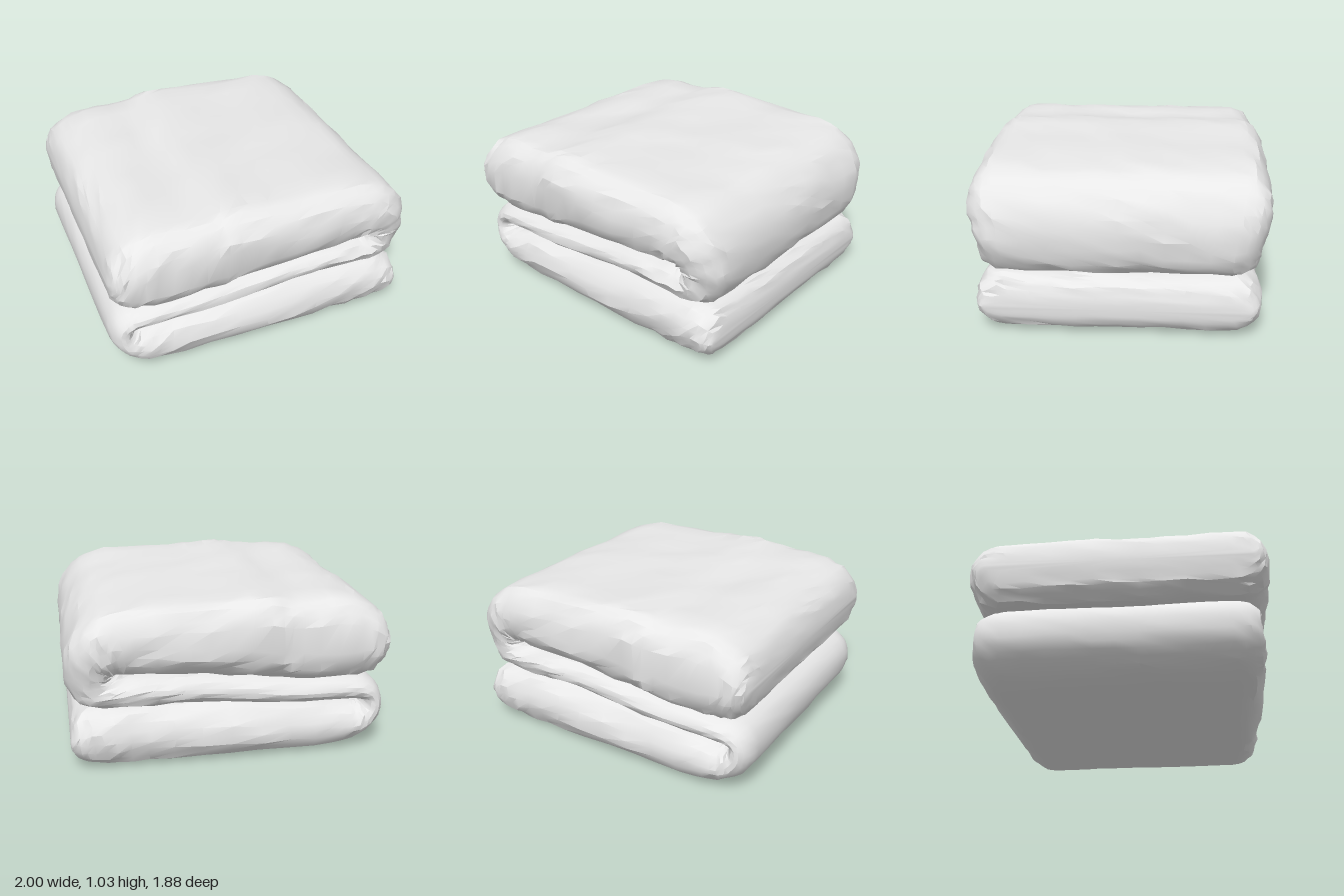
import * as THREE from 'three';
import { toCreasedNormals } from 'three/addons/utils/BufferGeometryUtils.js';

// Stations along the folded cloth: [face A x, y, face B x, y, half depth in z]
const stations = [
  // top layer, from its loose left end to the right
  [-0.995, 0.75, -0.995, 0.69, 0.80], [-0.965, 0.86, -0.97, 0.57, 0.87],
  [-0.88, 0.94, -0.89, 0.50, 0.90], [-0.71, 0.995, -0.74, 0.485, 0.91],
  [-0.42, 1.0, -0.42, 0.505, 0.92], [-0.22, 1.03, -0.22, 0.525, 0.925],
  [0.15, 1.01, 0.15, 0.56, 0.925], [0.62, 1.0, 0.55, 0.595, 0.92],
  // right fold
  [0.82, 0.945, 0.66, 0.60, 0.915], [0.945, 0.81, 0.70, 0.59, 0.90],
  [0.99, 0.63, 0.70, 0.58, 0.87], [0.96, 0.47, 0.68, 0.575, 0.85],
  [0.86, 0.385, 0.60, 0.575, 0.85],
  // middle layer, back to the left
  [0.6, 0.38, 0.4, 0.575, 0.86], [0.2, 0.365, 0.15, 0.56, 0.86],
  [-0.3, 0.335, -0.3, 0.525, 0.86], [-0.7, 0.315, -0.72, 0.49, 0.86],
  // left fold
  [-0.8, 0.31, -0.9, 0.455, 0.85], [-0.84, 0.305, -0.985, 0.37, 0.84],
  [-0.84, 0.295, -1.0, 0.24, 0.84], [-0.82, 0.29, -0.93, 0.12, 0.85],
  // bottom layer, to its loose right end
  [-0.75, 0.30, -0.8, 0.04, 0.86], [-0.5, 0.33, -0.55, 0.004, 0.87],
  [0, 0.36, 0, 0, 0.87], [0.5, 0.38, 0.5, 0, 0.87],
  [0.8, 0.38, 0.74, 0.005, 0.87], [0.92, 0.34, 0.9, 0.03, 0.85],
  [0.96, 0.26, 0.96, 0.10, 0.82], [0.97, 0.21, 0.97, 0.15, 0.79],
];

// Seeded random in -1..1
let seed = 7;
const rand = () => {
  seed = (seed * 16807) % 2147483647;
  return (seed / 2147483647) * 2 - 1;
};

// Ring around the cloth: t goes from face A (1) to face B (-1), z from back to front
function ring(half, w) {
  const rt = Math.min(0.2, half) / half, rz = 0.17;
  const side = [];
  const across = 10, bend = 5;
  for (let i = 0; i < across; i++) side.push([1, (w - rz) * ((2 * i) / across - 1)]);
  for (let i = 0; i <= bend; i++) {
    const q = (i / bend) * Math.PI / 2;
    side.push([1 - rt + rt * Math.cos(q), w - rz + rz * Math.sin(q)]);
  }
  for (let i = bend - 1; i > 0; i--) {
    const q = (i / bend) * Math.PI / 2;
    side.push([-1 + rt - rt * Math.cos(q), w - rz + rz * Math.sin(q)]);
  }
  return side.concat(side.map(([t, z]) => [-t, -z]));
}

function clothGeometry() {
  const curve = (pts) => new THREE.CatmullRomCurve3(pts, false, 'catmullrom', 0.5);
  const railA = curve(stations.map((s) => new THREE.Vector3(s[0], s[1], s[4])));
  const railB = curve(stations.map((s) => new THREE.Vector3(s[2], s[3], s[4])));
  const steps = (stations.length - 1) * 3;
  const positions = [], indices = [];
  let count = 0;

  for (let i = 0; i <= steps; i++) {
    const a = railA.getPoint(i / steps), b = railB.getPoint(i / steps);
    const w = a.z;
    a.z = b.z = 0;
    const half = a.distanceTo(b) / 2;
    const loop = ring(half, w);
    count = loop.length;
    // small crumples, fading out at the thin loose ends
    const crumple = 0.009 * THREE.MathUtils.smoothstep(half, 0.03, 0.16);
    for (const [t, z] of loop) {
      const x = (a.x + b.x) / 2 + ((a.x - b.x) / 2) * t;
      const y = (a.y + b.y) / 2 + ((a.y - b.y) / 2) * t;
      // soft sag of the cloth, flat where it rests
      const rest = Math.min(1, Math.max(0, y / 0.06));
      const sag = 0.006 * Math.sin(5 * x + 3 * z) * Math.cos(4 * z - 2 * x);
      positions.push(
        THREE.MathUtils.clamp(x + crumple * rand(), -1, 1),
        Math.max(0, y + rest * (sag + crumple * rand())),
        z * (1 + 0.008 * Math.sin(6 * x + 9 * y)) + crumple * rand(),
      );
    }
  }

  for (let i = 0; i < steps; i++) {
    for (let j = 0; j < count; j++) {
      const k = (j + 1) % count;
      const p = i * count + j, q = i * count + k;
      indices.push(p, q, p + count, q, q + count, p + count);
    }
  }

  // close both loose ends
  [0, steps].forEach((row) => {
    const s = stations[row ? stations.length - 1 : 0];
    const c = positions.length / 3;
    positions.push(s[0], (s[1] + s[3]) / 2, 0);
    for (let j = 0; j < count; j++) {
      const p = row * count + j, q = row * count + ((j + 1) % count);
      if (row) indices.push(c, p, q);
      else indices.push(c, q, p);
    }
  });

  const geometry = new THREE.BufferGeometry();
  geometry.setAttribute('position', new THREE.Float32BufferAttribute(positions, 3));
  geometry.setIndex(indices);
  return toCreasedNormals(geometry, 0.5);
}

export function createModel() {
  seed = 7;
  const group = new THREE.Group();
  group.name = 'foldedBlanket';

  const fabric = new THREE.MeshStandardMaterial({ color: 0xe8e8e8 });
  fabric.name = 'light grey fabric';

  // one thick cloth folded in three
  const cloth = new THREE.Mesh(clothGeometry(), fabric);
  cloth.name = 'foldedCloth';
  group.add(cloth);
  return group;
}
